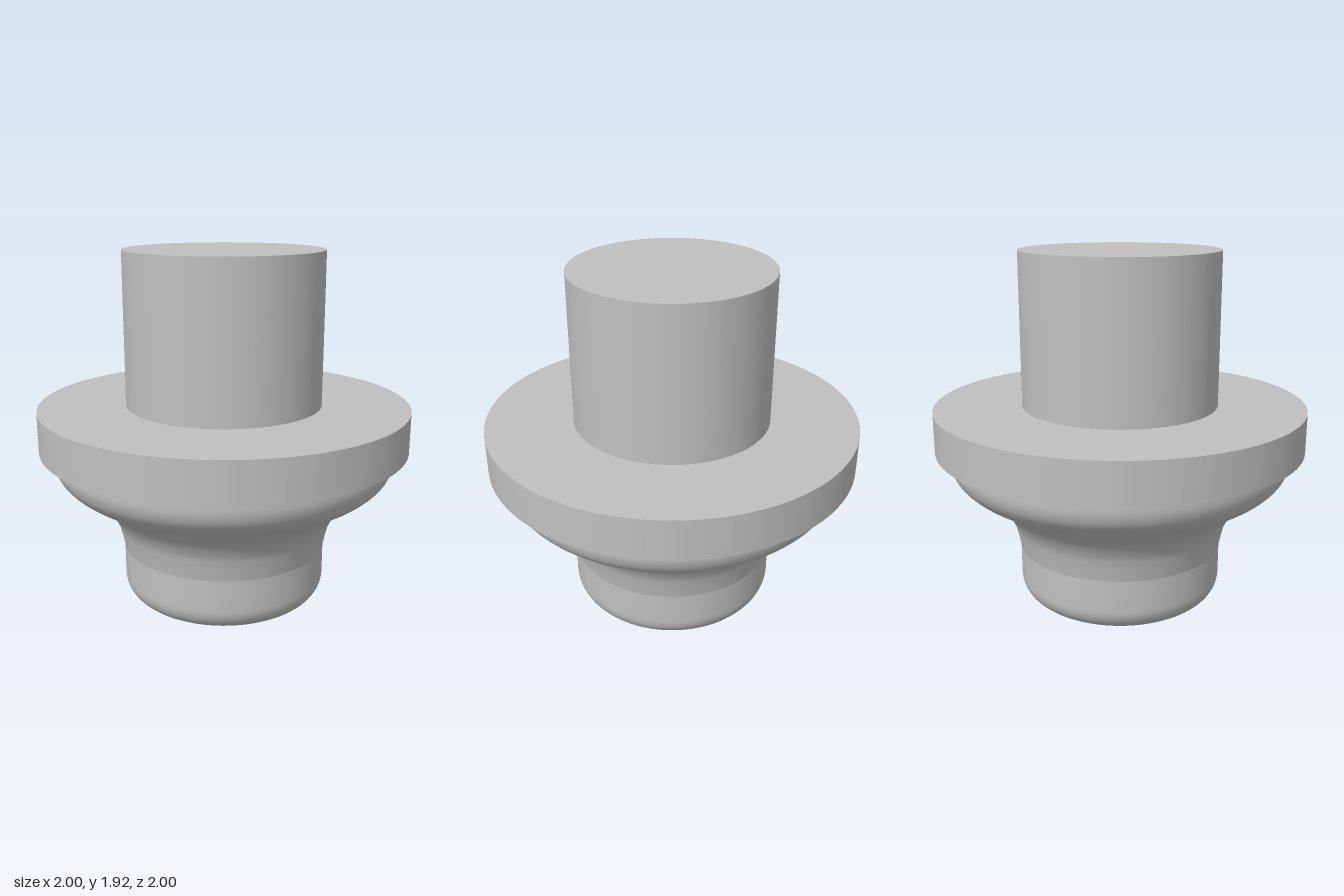
import * as THREE from 'three';

const SEGMENTS = 96;
const v = (r, y) => new THREE.Vector2(r, y);

export function createModel() {
  const model = new THREE.Group();
  const steel = new THREE.MeshStandardMaterial({ color: 0xc0c0c0 });
  steel.name = 'plain grey';

  // Revolves one smooth stretch of profile; separate stretches meet at sharp edges.
  const turn = (name, points, parent) => {
    const mesh = new THREE.Mesh(new THREE.LatheGeometry(points, SEGMENTS), steel);
    mesh.name = name;
    parent.add(mesh);
  };
  const part = (name) => {
    const group = new THREE.Group();
    group.name = name;
    model.add(group);
    return group;
  };
  // Points on a circular arc, angles in degrees.
  const arc = (cx, cy, r, from, to, steps = 12) =>
    Array.from({ length: steps + 1 }, (_, i) => {
      const a = THREE.MathUtils.degToRad(from + ((to - from) * i) / steps);
      return v(Math.max(0, cx + r * Math.cos(a)), cy + r * Math.sin(a));
    });

  // Recess in the underside with its round-ended pin
  const socket = part('socket');
  turn('socketCeiling', [v(0, 0.16), v(0.2, 0.16)], socket);
  turn('socketWall', [v(0.2, 0.16), v(0.2, 0)], socket);
  turn('roundPin', [...arc(0, 0.11, 0.11, -90, 0), v(0.11, 0.16)], socket);

  // Lower body: flat foot, rounded edge, short straight neck
  const body = part('body');
  turn('footFace', [v(0.2, 0), v(0.43, 0)], body);
  turn('neck', [...arc(0.43, 0.13, 0.13, -90, 0), v(0.56, 0.2), v(0.56, 0.305)], body);

  // Bell-shaped flare up to the flange
  const flare = new THREE.SplineCurve([
    v(0.56, 0.305), v(0.578, 0.39), v(0.6, 0.46), v(0.65, 0.54), v(0.735, 0.615),
    v(0.835, 0.68), v(0.895, 0.74), v(0.921, 0.8), v(0.925, 0.858),
  ]);
  turn('flare', flare.getPoints(48), body);

  // Flange with a small cove beneath it
  const flange = part('flange');
  turn('cove', [v(0.925, 0.858), v(0.936, 0.867), v(0.955, 0.875), v(1, 0.88)], flange);
  turn('flangeRim', [v(1, 0.88), v(1, 1.1)], flange);
  turn('flangeTop', [v(1, 1.1), v(0.53, 1.1)], flange);

  // Solid upper shaft
  const shaft = part('shaft');
  turn('shaftSide', [v(0.53, 1.1), v(0.53, 1.92)], shaft);
  turn('shaftTop', [v(0.53, 1.92), v(0, 1.92)], shaft);

  return model;
}
